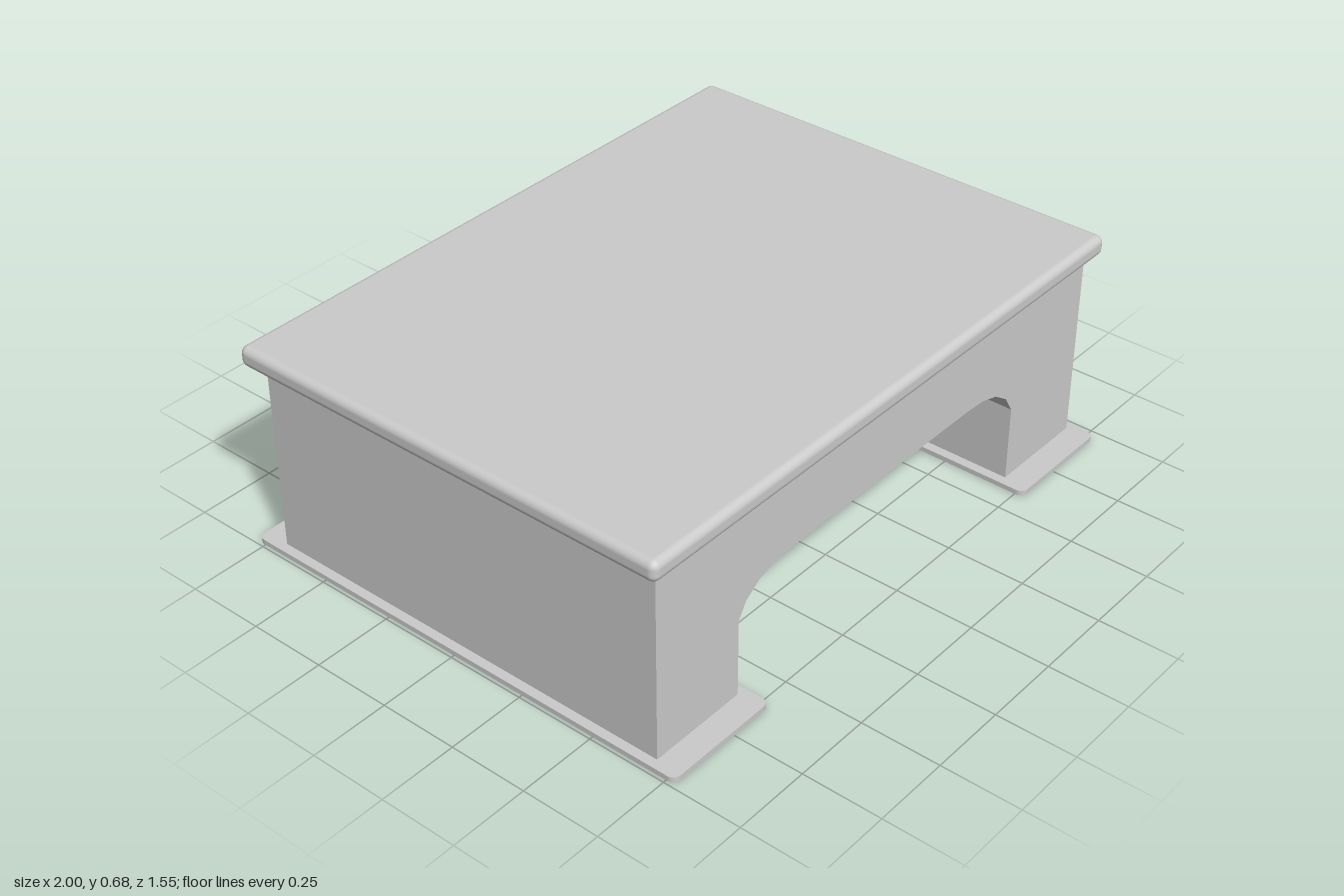
import * as THREE from 'three';
import { RoundedBoxGeometry } from 'three/addons/geometries/RoundedBoxGeometry.js';

const material = new THREE.MeshStandardMaterial({ color: 0xcccccc });

function part(name, geometry, x = 0, y = 0, z = 0) {
  const mesh = new THREE.Mesh(geometry, material);
  mesh.name = name;
  mesh.position.set(x, y, z);
  return mesh;
}

// Flat plate with rounded plan corners, base at y = 0
function plateGeometry(width, depth, height, r) {
  const w = width / 2, d = depth / 2;
  const s = new THREE.Shape();
  s.absarc(w - r, d - r, r, 0, Math.PI / 2);
  s.absarc(-w + r, d - r, r, Math.PI / 2, Math.PI);
  s.absarc(-w + r, -d + r, r, Math.PI, Math.PI * 1.5);
  s.absarc(w - r, -d + r, r, Math.PI * 1.5, Math.PI * 2);
  const g = new THREE.ExtrudeGeometry(s, { depth: height, bevelEnabled: false, curveSegments: 4 });
  return g.rotateX(-Math.PI / 2);
}

export function createModel() {
  const model = new THREE.Group();
  model.name = 'stepStool';

  // Body: solid block with a faceted arch cut through from front to back
  const base = 0.01;
  const outline = [
    [-0.96, base], [-0.635, base],
    [-0.635, 0.265], [-0.605, 0.315], [-0.55, 0.353], [-0.485, 0.372], [-0.4, 0.377],
    [0.38, 0.377], [0.46, 0.372], [0.525, 0.353], [0.58, 0.315], [0.615, 0.26],
    [0.615, base], [0.945, base], [0.945, 0.63], [-0.96, 0.63],
  ].map(([x, y]) => new THREE.Vector2(x, y));
  const bodyGeometry = new THREE.ExtrudeGeometry(new THREE.Shape(outline), {
    depth: 1.385, bevelEnabled: false,
  });
  model.add(part('archedBody', bodyGeometry, 0, 0, -0.69));

  // Top board with rounded edges
  model.add(part('topBoard', new RoundedBoxGeometry(2, 0.066, 1.48, 3, 0.024), 0, 0.651, -0.013));

  // Foot plates under both legs
  const foot = plateGeometry(0.385, 1.555, 0.016, 0.025);
  model.add(part('rightFootPlate', foot, -0.797, 0, 0));
  model.add(part('leftFootPlate', foot, 0.777, 0, 0));

  return model;
}
